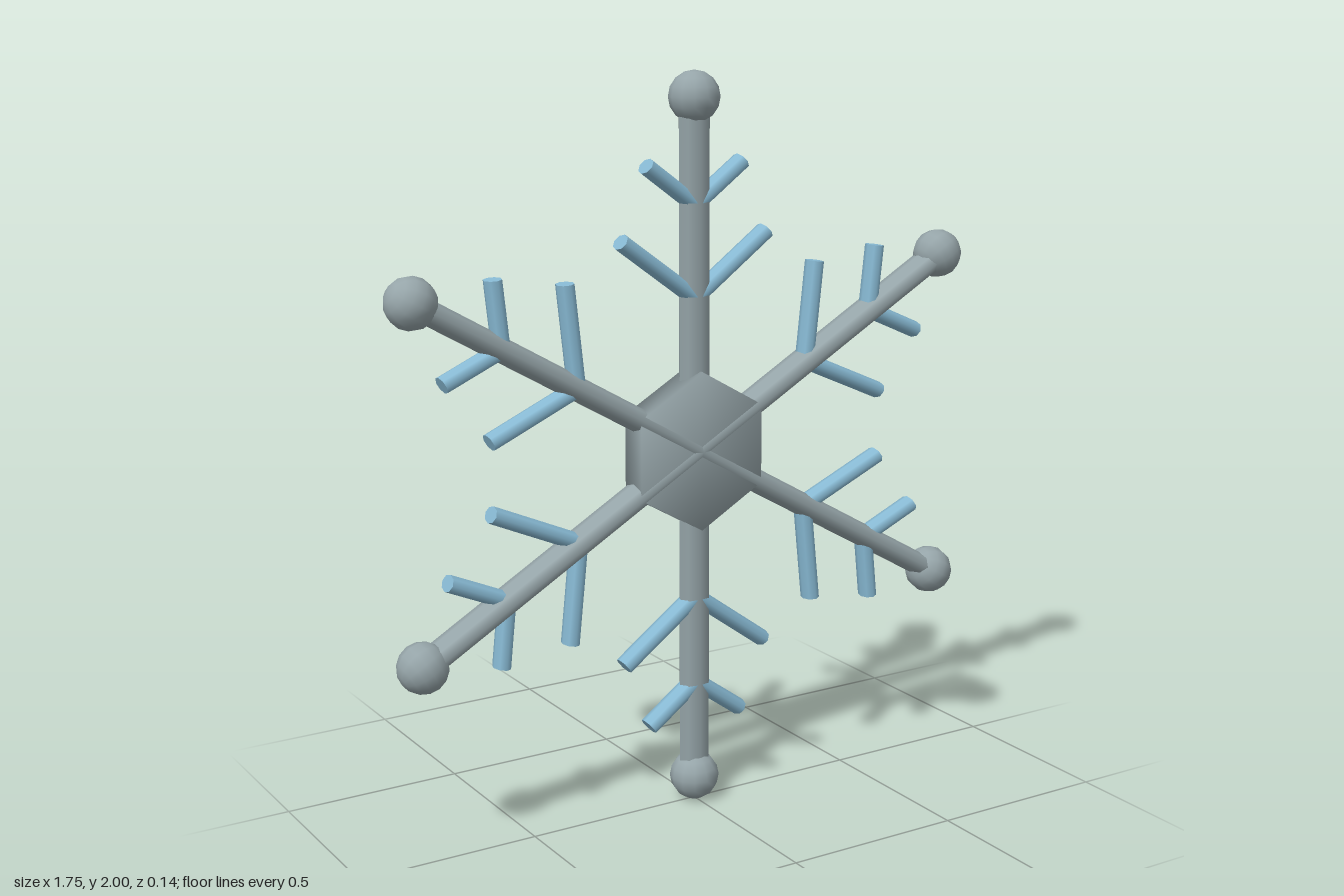
import * as THREE from 'three';
import { mergeVertices } from 'three/addons/utils/BufferGeometryUtils.js';

const frost = new THREE.MeshStandardMaterial({ color: 0x96a5a9 });
frost.name = 'frost grey';
const ice = new THREE.MeshStandardMaterial({ color: 0x88bad4 });
ice.name = 'ice blue';

// Faceted rod with an oval section, running along +y from its origin
function rod(name, halfWidth, halfDepth, length, material) {
  const geometry = new THREE.CylinderGeometry(1, 1, length, 8);
  geometry.scale(halfWidth, 1, halfDepth);
  geometry.translate(0, length / 2, 0);
  const mesh = new THREE.Mesh(geometry, material);
  mesh.name = name;
  return mesh;
}

// One arm with its tip ball and two pairs of side branches
function createArm(upright) {
  const arm = new THREE.Group();
  arm.name = 'arm';
  // Upright arms are broad from the front, slanted arms are deep
  arm.add(upright
    ? rod('armRod', 0.046, 0.033, 0.92, frost)
    : rod('armRod', 0.032, 0.05, 0.92, frost));

  const ball = new THREE.Mesh(new THREE.SphereGeometry(0.068, 12, 8), frost);
  ball.name = 'tipBall';
  ball.position.y = 0.932;
  arm.add(ball);

  for (const [start, length] of [[0.41, 0.275], [0.655, 0.18]]) {
    for (const side of [-1, 1]) {
      const branch = rod('branch', 0.023, 0.031, length, ice);
      branch.position.y = start;
      branch.rotation.z = side * 0.94;
      arm.add(branch);
    }
  }
  return arm;
}

export function createModel() {
  const snowflake = new THREE.Group();
  snowflake.name = 'snowflake';

  // Hexagonal hub with softly blended normals, points up and down
  let hubGeometry = new THREE.CylinderGeometry(0.217, 0.217, 0.084, 6);
  hubGeometry.rotateX(Math.PI / 2);
  hubGeometry.deleteAttribute('normal');
  hubGeometry.deleteAttribute('uv');
  hubGeometry = mergeVertices(hubGeometry, 1e-4);
  hubGeometry.computeVertexNormals();
  const hub = new THREE.Mesh(hubGeometry, frost);
  hub.name = 'hub';
  hub.position.y = 1;
  snowflake.add(hub);

  // Six arms around the hub
  for (let i = 0; i < 6; i++) {
    const arm = createArm(i % 3 === 0);
    arm.position.y = 1;
    arm.rotation.z = i * Math.PI / 3;
    snowflake.add(arm);
  }
  return snowflake;
}
